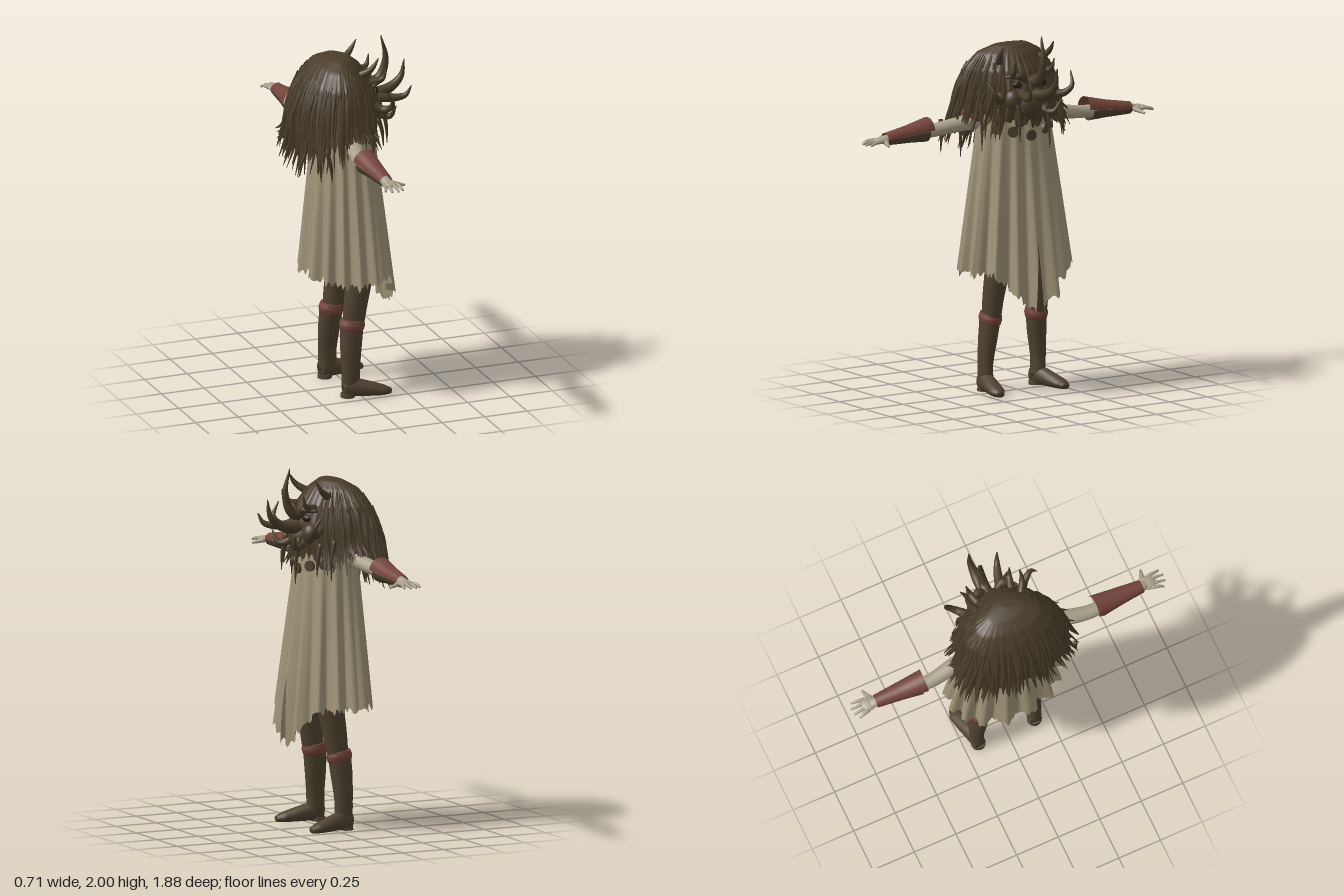
import * as THREE from 'three';

const mat = (name, color, side = THREE.FrontSide) => {
  const m = new THREE.MeshStandardMaterial({ color, side });
  m.name = name;
  return m;
};
const V = (p) => new THREE.Vector3(...p);
const lerp = THREE.MathUtils.lerp;

// small seeded random numbers
let seed = 7;
const rnd = () => (seed = (seed * 16807) % 2147483647) / 2147483647;

// surface from f(u, v) -> [x, y, z], optionally closed around u
function grid(nu, nv, f, closed = true) {
  const pos = [], idx = [], w = closed ? nu : nu + 1;
  for (let j = 0; j <= nv; j++) for (let i = 0; i < w; i++) pos.push(...f(i / nu, j / nv));
  for (let j = 0; j < nv; j++) for (let i = 0; i < nu; i++) {
    const k = (i + 1) % w, a = j * w + i, b = j * w + k, c = a + w, d = b + w;
    idx.push(a, b, c, b, d, c);
  }
  const g = new THREE.BufferGeometry();
  g.setAttribute('position', new THREE.Float32BufferAttribute(pos, 3));
  g.setIndex(idx);
  g.computeVertexNormals();
  return g;
}

// tube along points with a [radius along up, radius across] pair at each point
function tube(points, radii, { up = [0, 0, 1], sides = 10, rows = 16, from = 0, sweep = Math.PI * 2 } = {}) {
  const curve = new THREE.CatmullRomCurve3(points.map(V)), full = sweep > 6;
  return grid(sides, rows + (full ? 2 : 0), (u, v) => {
    const row = full ? Math.round(v * (rows + 2)) - 1 : v * rows;
    const t = THREE.MathUtils.clamp(row / rows, 0, 1);
    const c = curve.getPoint(t), d = curve.getTangent(t);
    const n = V(up).addScaledVector(d, -d.dot(V(up))).normalize(), b = d.clone().cross(n);
    const k = t * (radii.length - 1), i = Math.min(Math.floor(k), radii.length - 2);
    const end = full && (row < 0 || row > rows) ? 0 : 1, a = from + u * sweep;
    c.addScaledVector(n, end * Math.cos(a) * lerp(radii[i][0], radii[i + 1][0], k - i));
    c.addScaledVector(b, end * Math.sin(a) * lerp(radii[i][1], radii[i + 1][1], k - i));
    return c.toArray();
  }, full);
}

// hair outline: height, back x, front x, half width
const outline = [
  [1.93, -.05, -.05, 0], [1.92, -.12, .0, .1], [1.88, -.19, .05, .18], [1.8, -.25, .11, .25],
  [1.7, -.29, .15, .275], [1.6, -.31, .155, .3], [1.5, -.32, .14, .33], [1.3, -.32, .13, .34],
];
function hairPoint(a, t, jag = 0) {
  const c = Math.cos(a), s = Math.sin(a);
  const hem = (c > 0 ? lerp(1.6, 1.5, c) : lerp(1.6, 1.43, -c)) + jag;
  const y = 1.93 - (1.93 - hem) * Math.pow(t, 1.7);
  let i = 0;
  while (i < outline.length - 2 && outline[i + 1][0] > y) i++;
  const p = outline[i], q = outline[i + 1], k = (p[0] - y) / (p[0] - q[0]);
  const [xb, xf, zs] = [1, 2, 3].map((n) => lerp(p[n], q[n], k));
  const r = 1 + t * (0.025 * Math.sin(31 * a + 3 * t) + 0.015 * Math.sin(53 * a));
  return [(xb + xf) / 2 + (xf - xb) / 2 * c * r, y, zs * s * (1 - .28 * c) * r];
}

// pleated robe with a split front and a ragged hem
function robePoint(u, v) {
  const a0 = u * Math.PI * 2, fa = Math.min(a0, Math.PI * 2 - a0);
  const jag = 0.018 * Math.sin(a0 * 37) * Math.sin(a0 * 13 + 1) + 0.008 * Math.sin(a0 * 71);
  const hem = 0.68 - 0.21 * Math.max(0, 1 - fa / 0.8) + jag;
  const y = lerp(1.53, hem, v), k = (1.53 - y) / 0.83;
  const gap = Math.max(0, 0.86 - y) * 0.2, a = gap + (a0 / (Math.PI * 2)) * (Math.PI * 2 - 2 * gap);
  const fold = (0.004 + 0.02 * k) * Math.sin(a * 15 + Math.PI / 2 + Math.sin(a * 3) * 0.8) + 0.004 * k * Math.sin(a * 34);
  const c = Math.cos(a), s = Math.sin(a);
  const xb = lerp(-.19, -.245, k), xf = lerp(.12, .2, k), zs = lerp(.21, .315, k);
  return [(xb + xf) / 2 + ((xf - xb) / 2 + fold) * c, y, (zs + fold) * s];
}

export function createModel() {
  const root = new THREE.Group();
  root.name = 'hornedWildman';
  const cloth = mat('linen', 0xa09477, THREE.DoubleSide);
  const skin = mat('skin', 0xa9a089);
  const hair = mat('darkHair', 0x493c2a, THREE.DoubleSide);
  const leather = mat('brownLeather', 0x4f4231, THREE.DoubleSide);
  const red = mat('redLeather', 0x74453b, THREE.DoubleSide);
  const dark = mat('eyeHollow', 0x241c14);
  const add = (name, geo, m, parent = root) => {
    const mesh = new THREE.Mesh(geo, m);
    mesh.name = name;
    parent.add(mesh);
    return mesh;
  };
  const ball = (name, m, p, s) => {
    const b = add(name, new THREE.SphereGeometry(1, 24, 16), m);
    b.position.set(...p);
    b.scale.set(...s);
    return b;
  };

  // body and robe
  add('robe', grid(288, 40, robePoint, false), cloth);
  ball('chest', leather, [-.04, 1.47, 0], [.13, .12, .19]);
  ball('hips', leather, [-.01, .93, 0], [.12, .15, .19]);

  // medallions round the chest
  for (const [z, y] of [[-.18, 1.48], [-.105, 1.465], [0, 1.44], [.105, 1.465], [.18, 1.48]]) {
    const a = Math.asin(z / .22);
    const disc = add('medallion', new THREE.CylinderGeometry(.03, .03, .016, 20), leather);
    disc.position.set(-.03 + .168 * Math.cos(a), y, z);
    disc.rotation.set(0, -a, -Math.PI / 2, 'YXZ');
  }

  for (const s of [1, -1]) {
    // arms, bracers and hands
    const m = (pts) => pts.map(([x, y, z]) => [x, y, z * s]);
    const up = [0, 1, 0];
    ball('shoulderPad', red, [-.105, 1.555, s * .225], [.082, .07, .06]);
    add('arm', tube(m([[-.09, 1.51, .15], [-.095, 1.5, .3], [-.12, 1.475, .48], [-.105, 1.47, .66], [-.1, 1.465, .83]]),
      [[.05, .055], [.042, .047], [.036, .04], [.033, .036], [.02, .027]], { up, sides: 16 }), skin);
    const bracer = m([[-.11, 1.492, .51], [-.105, 1.478, .65], [-.1, 1.466, .8]]);
    const size = [[.066, .066], [.048, .052], [.034, .037]];
    add('bracerTop', tube(bracer, size, { up, sides: 14, from: -Math.PI / 2, sweep: Math.PI }), red);
    add('bracerUnderside', tube(m([[-.11, 1.488, .54], [-.105, 1.477, .65], [-.1, 1.466, .8]]), size,
      { up, sides: 14, from: Math.PI / 2, sweep: Math.PI }), leather);
    ball('palm', skin, [-.095, 1.463, s * .838], [.042, .017, .045]);
    [[-.13, -.148, .915], [-.107, -.117, .936], [-.083, -.082, .94], [-.062, -.05, .925]].forEach(([x0, x1, z]) =>
      add('finger', tube(m([[x0, 1.463, .85], [(x0 + x1) / 2, 1.461, .89], [x1, 1.45, z]]),
        [[.011, .011], [.01, .01], [.006, .006]], { up, sides: 8, rows: 8 }), skin));
    add('thumb', tube(m([[-.07, 1.46, .815], [-.035, 1.452, .83], [-.004, 1.445, .838]]),
      [[.014, .016], [.011, .012], [.006, .006]], { up, sides: 8, rows: 8 }), skin);

    // legs and boots
    const leg = { up: [1, 0, 0], sides: 18 };
    add('trouserLeg', tube(m([[.01, .95, .11], [.008, .7, .135], [-.018, .52, .147], [-.035, .38, .15]]),
      [[.095, .09], [.077, .066], [.066, .056], [.058, .05]], leg), leather);
    add('bootShaft', tube(m([[-.04, .42, .15], [-.05, .3, .16], [-.056, .16, .172], [-.056, .05, .17]]),
      [[.066, .056], [.062, .05], [.052, .039], [.052, .038]], leg), leather);
    add('bootCuff', tube(m([[-.037, .44, .149], [-.04, .41, .15], [-.043, .383, .152]]),
      [[.066, .055], [.074, .062], [.067, .057]], { ...leg, rows: 8 }), red);
    add('foot', tube(m([[-.1, .05, .167], [-.05, .055, .175], [.05, .04, .195], [.12, .028, .21], [.162, .02, .215]]),
      [[.045, .033], [.055, .042], [.04, .047], [.028, .044], [.016, .022]], { up, sides: 16 }), leather);
    add('heel', new THREE.CylinderGeometry(.038, .04, .022, 18), leather).position.set(-.073, .011, s * .168);

    // brow and eye
    add('brow', tube(m([[.12, 1.74, .025], [.137, 1.775, .075], [.09, 1.77, .14]]),
      [[.015, .018], [.022, .024], [.008, .01]], { up, sides: 10 }), hair);
    ball('eyeHollow', dark, [.128, 1.725, s * .085], [.012, .018, .026]).rotation.y = -s * .45;
    ball('cheek', hair, [.105, 1.64, s * .1], [.05, .06, .05]);
  }

  // head of hair
  const head = new THREE.Group();
  head.name = 'maneAndHorns';
  root.add(head);
  add('mane', grid(240, 36, (u, v) => {
    const a = u * Math.PI * 2;
    return hairPoint(a, v, .025 * Math.sin(a * 23) * Math.sin(a * 9 + 1) + .012 * Math.sin(a * 47));
  }), hair, head);
  ball('muzzle', hair, [.12, 1.61, 0], [.065, .085, .075]);

  // loose locks following the mane and hanging below it
  for (let i = 0; i < 150; i++) {
    const a = .75 + rnd() * (Math.PI * 2 - 1.5), c = Math.cos(a), t0 = .3 + rnd() * .45;
    const drop = (c < -.1 ? .03 + rnd() * .11 : .03 + rnd() * .1), out = .01 + rnd() * .035, bend = (rnd() - .5) * .2;
    const on = (t, k) => {
      const [x, y, z] = hairPoint(a + bend * k, t);
      return [x + .006 * c, y, z + .006 * Math.sin(a)];
    };
    const [x, y, z] = on(1, 1), r = .007 + rnd() * .009;
    const tip = [x + out * c, y - drop, z + out * Math.sin(a) * 1.4];
    add('lock', tube([on(t0, 0), on((t0 + 1) / 2, .5), [x, y, z], tip],
      [[.003, .003], [r, r], [r * .9, r * .9], [.0015, .0015]], { sides: 5, rows: 10 }), hair, head);
  }
  // long thin strands at the sides of the face
  for (const [x, y, z, end] of [[.17, 1.62, -.08, 1.37], [.16, 1.62, .1, 1.42], [.02, 1.62, .25, 1.36],
    [.04, 1.62, -.25, 1.4], [.1, 1.6, .19, 1.44], [.1, 1.6, -.2, 1.42], [-.27, 1.5, .2, 1.28], [-.26, 1.5, .33, 1.32]]) {
    add('strand', tube([[x, y, z], [x + .02, (y + end) / 2, z * 1.03], [x + .025, end, z * 1.05]],
      [[.013, .013], [.01, .01], [.002, .002]], { sides: 6, rows: 10 }), hair, head);
  }

  // horns
  const horns = [
    [[[.07, 1.74, -.02], [.18, 1.75, -.02], [.225, 1.86, -.02], [.2, 1.998, -.025]], .036],
    [[[.1, 1.66, -.02], [.25, 1.685, -.03], [.32, 1.74, -.035], [.342, 1.838, -.035]], .036],
    [[[.1, 1.68, .05], [.22, 1.67, .085], [.29, 1.685, .11], [.32, 1.74, .125]], .03],
  ];
  for (const s of [1, -1]) {
    horns.push([[[.0, 1.83, s * .12], [.07, 1.88, s * .16], [.11, 1.94, s * .165]], .024]);
    horns.push([[[.06, 1.68, s * .15], [.13, 1.65, s * .2], [.16, 1.69, s * .25], [.12, 1.77, s * .27]], .028]);
    horns.push([[[.11, 1.6, s * .06], [.2, 1.57, s * .1], [.225, 1.64, s * .14]], .025]);
    horns.push([[[.08, 1.78, s * .1], [.15, 1.8, s * .12], [.17, 1.86, s * .13]], .022]);
  }
  for (const [pts, r] of horns) {
    add('horn', tube(pts, [[r, r], [r * .8, r * .8], [r * .5, r * .5], [.003, .003]], { sides: 12, rows: 18 }), hair, head);
  }
  return root;
}
